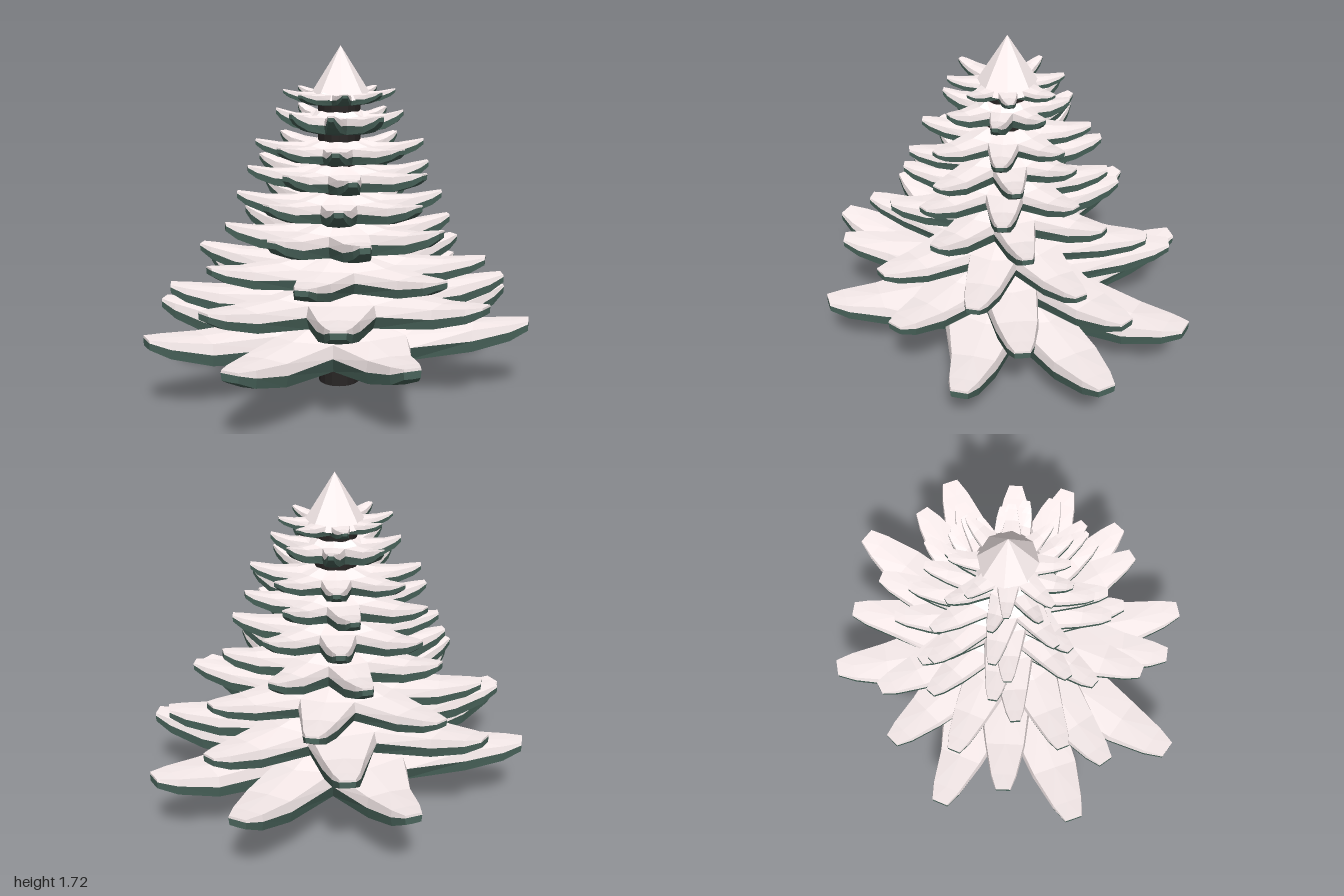
import * as THREE from 'three';

const matte = (color) => new THREE.MeshStandardMaterial({ color, flatShading: true });

// seeded jitter in -1..1
let seed = 7;
const jitter = () => {
  seed = (seed * 16807) % 2147483647;
  return (seed / 2147483647) * 2 - 1;
};

// arm cross-sections: reach, half width (of radius), then keel, bottom, rim, snow edge and ridge (of tier height)
const SECTIONS = [
  { reach: 0.47, width: 0, keel: 0, bottom: 0.02, rim: 0.42, edge: 0.74, ridge: 0.82 },
  { reach: 0.72, width: 0.12, keel: 0.16, bottom: 0.2, rim: 0.5, edge: 0.79, ridge: 0.83 },
  { reach: 0.91, width: 0.078, keel: 0.46, bottom: 0.49, rim: 0.74, edge: 0.93, ridge: 0.94 },
  { reach: 1, width: 0.045, keel: 0.74, bottom: 0.75, rim: 0.93, edge: 1, ridge: 1 },
];

// eight evenly spread arms, in degrees
const spread = (turn) => Array.from({ length: 8 }, (_, i) => i * 45 + turn);

// tiers: base height, tip height, x reach, z reach, arm angles in degrees
const TIERS = [
  [0.195, 0.385, 1.03, 0.92, [-15, 18, 58, 117, 164, 199, 240, 298]],
  [0.38, 0.545, 0.85, 0.84, [3, 40, 83, 137, 183, 220, 263, 316]],
  [0.55, 0.695, 0.71, 0.75, [16, 57, 98, 150, 196, 240, 279, 328]],
  [0.71, 0.86, 0.57, 0.58, spread(-10)],
  [0.87, 1.00, 0.48, 0.53, spread(2)],
  [1.02, 1.14, 0.41, 0.51, spread(-6)],
  [1.155, 1.26, 0.39, 0.43, spread(4)],
  [1.295, 1.405, 0.29, 0.33, spread(9)],
  [1.435, 1.505, 0.29, 0.26, spread(-4)],
];

function meshFrom(points, material, name) {
  const geometry = new THREE.BufferGeometry().setFromPoints(points);
  geometry.computeVertexNormals();
  const mesh = new THREE.Mesh(geometry, material);
  mesh.name = name;
  return mesh;
}

function makeTier([base, top, rx, rz, degrees], index, snowMat, needleMat) {
  const snow = [], needles = [];
  const tri = (out, a, b, c) => out.push(a, b, c);
  const quad = (out, a, b, c, d) => out.push(a, b, c, a, c, d);
  const height = top - base;
  const angles = degrees.map(THREE.MathUtils.degToRad);
  const count = angles.length;
  const notchRadius = SECTIONS[0].reach * (rx + rz) / 2;
  const hubRadius = Math.max(0.112, notchRadius * 0.4);
  const at = (angle, r, side, y) => new THREE.Vector3(
    Math.cos(angle) * r - Math.sin(angle) * side, base + y * height,
    Math.sin(angle) * r + Math.cos(angle) * side);
  const hubTop = at(0, 0, 0, 1), hubBottom = at(0, 0, 0, 0);

  angles.forEach((angle, i) => {
    const next = i === count - 1 ? angles[0] + Math.PI * 2 : angles[i + 1];
    const prev = i === 0 ? angles[count - 1] - Math.PI * 2 : angles[i - 1];
    const leftNotch = (angle + next) / 2, rightNotch = (angle + prev) / 2;
    const radius = Math.hypot(rx * Math.cos(angle), rz * Math.sin(angle)) * (1 + jitter() * 0.01);
    const lift = jitter() * 0.05;

    const rings = SECTIONS.map((s, k) => {
      const r = radius * s.reach, w = radius * s.width, up = lift * k / 3;
      const ring = { ridge: at(angle, r, 0, s.ridge + up), keel: at(angle, r, 0, s.keel + up) };
      // neighbouring arms share the notch between them
      const corner = (notch, side, inset, y) => k === 0
        ? at(notch, notchRadius * inset, 0, y)
        : at(angle, r, side * w * inset, y + up);
      ring.edgeL = corner(leftNotch, 1, 0.94, s.edge);
      ring.edgeR = corner(rightNotch, -1, 0.94, s.edge);
      ring.rimL = corner(leftNotch, 1, 1, s.rim);
      ring.rimR = corner(rightNotch, -1, 1, s.rim);
      ring.lowL = corner(leftNotch, 1, 0.92, s.bottom);
      ring.lowR = corner(rightNotch, -1, 0.92, s.bottom);
      return ring;
    });

    // hub wedge: raised snow around the trunk, flat needles below
    const root = rings[0], tip = rings[rings.length - 1];
    const hubL = at(leftNotch, hubRadius, 0, 0.95), hubR = at(rightNotch, hubRadius, 0, 0.95);
    const hubMid = at(angle, hubRadius, 0, 1);
    tri(snow, hubTop, hubL, hubMid);
    tri(snow, hubTop, hubMid, hubR);
    quad(snow, hubMid, hubL, root.edgeL, root.ridge);
    quad(snow, hubMid, root.ridge, root.edgeR, hubR);
    tri(needles, hubBottom, root.keel, root.lowL);
    tri(needles, hubBottom, root.lowR, root.keel);

    // arm: snow slab over a needle hull
    for (let k = 0; k < rings.length - 1; k++) {
      const a = rings[k], b = rings[k + 1];
      quad(snow, a.ridge, a.edgeL, b.edgeL, b.ridge);
      quad(snow, a.ridge, b.ridge, b.edgeR, a.edgeR);
      quad(snow, a.rimL, b.rimL, b.edgeL, a.edgeL);
      quad(snow, a.rimR, a.edgeR, b.edgeR, b.rimR);
      quad(needles, a.lowL, b.lowL, b.rimL, a.rimL);
      quad(needles, a.lowR, a.rimR, b.rimR, b.lowR);
      quad(needles, a.keel, b.keel, b.lowL, a.lowL);
      quad(needles, a.keel, a.lowR, b.lowR, b.keel);
    }

    // blunt tip
    quad(snow, tip.rimL, tip.rimR, tip.edgeR, tip.edgeL);
    tri(snow, tip.ridge, tip.edgeL, tip.edgeR);
    tri(needles, tip.keel, tip.lowR, tip.lowL);
    quad(needles, tip.lowL, tip.lowR, tip.rimR, tip.rimL);
  });

  const tier = new THREE.Group();
  tier.name = `branchTier${index + 1}`;
  tier.add(meshFrom(snow, snowMat, 'snow'), meshFrom(needles, needleMat, 'needles'));
  return tier;
}

export function createModel() {
  seed = 7;
  const tree = new THREE.Group();
  tree.name = 'snowyFir';
  const snowMat = matte(0xfcf0f0), needleMat = matte(0x4a655c), barkMat = matte(0x282524);

  const trunk = new THREE.Mesh(new THREE.CylinderGeometry(0.105, 0.105, 1.47, 16), barkMat);
  trunk.name = 'trunk';
  trunk.position.y = 0.735;
  tree.add(trunk);

  TIERS.forEach((tier, i) => tree.add(makeTier(tier, i, snowMat, needleMat)));

  // pointed snow cap, its foot sunk into the top tier
  const cap = new THREE.Mesh(new THREE.ConeGeometry(0.16, 0.255, 8), snowMat);
  cap.name = 'snowCap';
  cap.position.set(0.01, 1.5895, 0);
  tree.add(cap);

  return tree;
}
